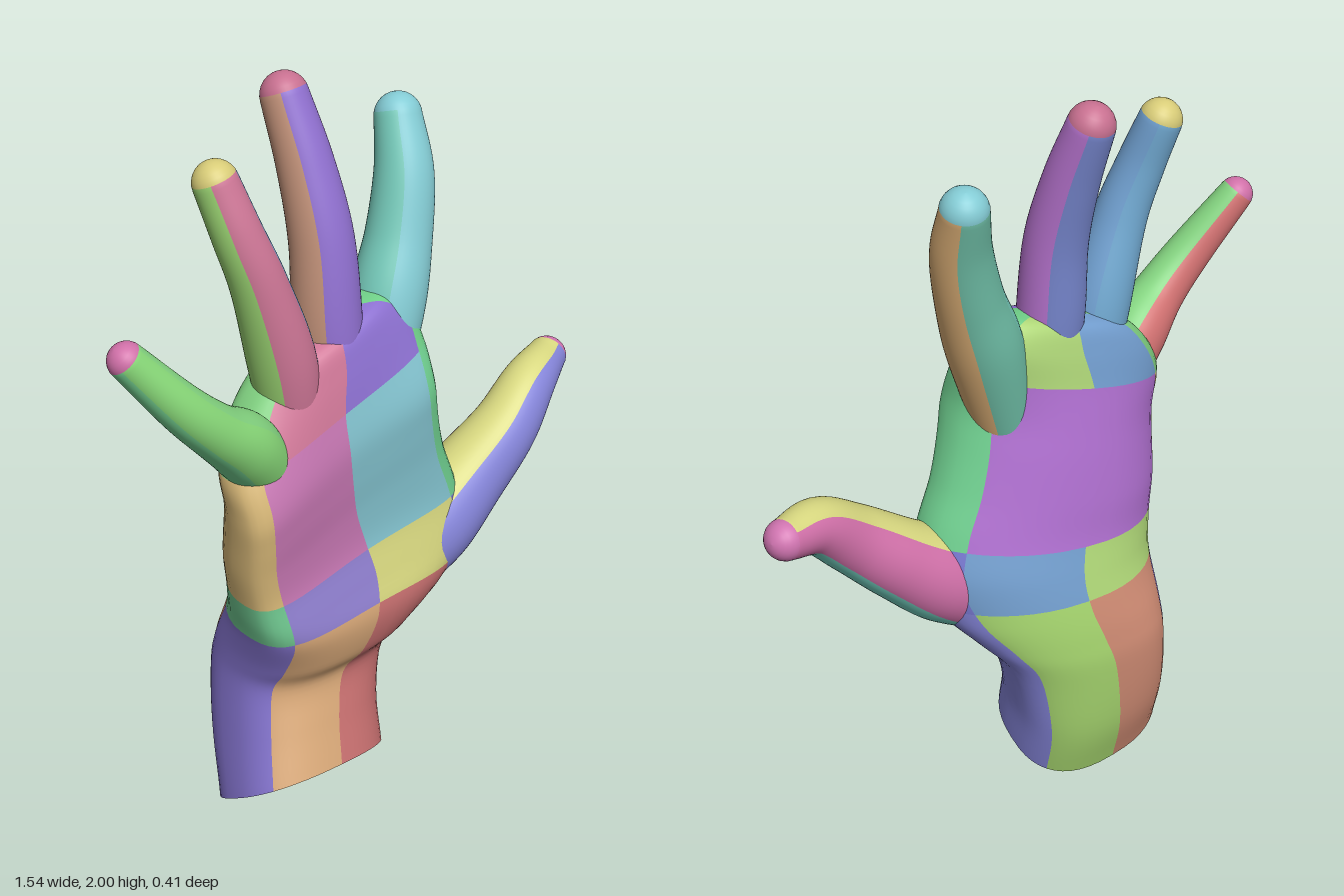
import * as THREE from 'three';

const COLS = 48;

// Closed-ring loft, split into coloured patches that share smooth normals.
function loft(name, rings, colorAt) {
  const pos = rings.flat().flatMap(p => [p.x, p.y, p.z]);
  const patches = new Map();
  const all = [];
  for (let i = 0; i < rings.length - 1; i++) {
    for (let j = 0; j < COLS; j++) {
      const k = (j + 1) % COLS;
      const a = i * COLS + j, b = i * COLS + k, c = b + COLS, d = a + COLS;
      const color = colorAt(i, j);
      if (!patches.has(color)) patches.set(color, []);
      patches.get(color).push(a, d, c, a, c, b);
      all.push(a, d, c, a, c, b);
    }
  }
  const whole = new THREE.BufferGeometry();
  whole.setAttribute('position', new THREE.Float32BufferAttribute(pos, 3));
  whole.setIndex(all);
  whole.computeVertexNormals();
  const group = new THREE.Group();
  group.name = name;
  for (const [color, index] of patches) {
    whole.setIndex(index);
    const mesh = new THREE.Mesh(whole.toNonIndexed(), new THREE.MeshStandardMaterial({ color }));
    mesh.name = name + 'Patch';
    group.add(mesh);
  }
  return group;
}

// Rounded oval; angle 0 is +x, a quarter turn is the front.
function oval(power) {
  return Array.from({ length: COLS }, (_, j) => {
    const t = (j / COLS) * Math.PI * 2;
    const f = v => Math.sign(v) * Math.pow(Math.abs(v), 2 / power);
    return [f(Math.cos(t)), f(Math.sin(t))];
  });
}

const smooth = pts => new THREE.CatmullRomCurve3(pts, false, 'catmullrom', 0.5);

// Palm and wrist sections: y, left x, right x, back z, front z, front-to-back slope
const SECTIONS = [
  [0.10, -0.43, 0.04, -0.12, 0.20, 0.60],
  [0.25, -0.395, 0.06, -0.18, 0.16, 0.40],
  [0.41, -0.37, 0.11, -0.205, 0.135, 0.10],
  [0.50, -0.37, 0.18, -0.20, 0.175, 0],
  [0.60, -0.385, 0.265, -0.185, 0.195, 0],
  [0.70, -0.405, 0.31, -0.165, 0.175, 0],
  [0.80, -0.42, 0.285, -0.145, 0.155, 0],
  [0.90, -0.435, 0.235, -0.135, 0.155, 0],
  [1.00, -0.445, 0.20, -0.12, 0.165, 0],
  [1.10, -0.455, 0.18, -0.10, 0.17, 0],
  [1.20, -0.455, 0.175, -0.08, 0.155, 0],
  [1.30, -0.395, 0.16, -0.065, 0.135, 0],
  [1.37, -0.305, 0.085, -0.045, 0.11, 0],
  [1.395, -0.18, 0.0, 0, 0.06, 0],
];

// Patch colours from wrist to knuckles, round from the thumb side by the front
const PALM_COLORS = [
  [0x8484d8, 0xc87070, 0xd8a878, 0x8070c8, 0xd08c74, 0xa8d870],
  [0x7878d0, 0xd8d880, 0x9080d0, 0x70c890, 0xb0d878, 0x74a0d0],
  [0x70d090, 0x84c4d0, 0xc878b4, 0xd8b878, 0xb070d0, 0xb070d1],
  [0x70d088, 0x8c70d0, 0xd07898, 0x80d080, 0x74a0d2, 0xb0d879],
];

function makePalm() {
  const shape = smooth(SECTIONS.map(s => new THREE.Vector3(s[0], s[1], s[2])));
  const depth = smooth(SECTIONS.map(s => new THREE.Vector3(s[3], s[4], s[5])));
  const step = THREE.MathUtils.smoothstep;
  const unit = oval(2.5), rows = 78, rings = [];
  const height = i => shape.getPoint(i / rows).x;
  for (let i = 0; i <= rows; i++) {
    const { x: y, y: x0, z: x1 } = shape.getPoint(i / rows);
    const { x: z0, y: z1, z: slope } = depth.getPoint(i / rows);
    // The knuckle line rises to the thumb side, and both palm edges cup forward
    const tilt = 0.3 * step(y, 0.5, 1.1) - 0.13 * slope;
    const cup = 0.08 * step(y, 0.45, 0.7) * (1 - step(y, 1.05, 1.35));
    // The back of the hand is fuller on the little finger's side
    const skew = 0.16 * step(y, 0.1, 0.4) * (1 - step(y, 0.8, 1.1));
    rings.push(unit.map(([u, v]) => {
      const dx = u * (x1 - x0) / 2, dz = v * (z1 - z0) / 2 * (v < 0 ? 1 - skew * u : 1);
      return new THREE.Vector3((x0 + x1) / 2 + dx, y + slope * dz + tilt * dx,
        (z0 + z1) / 2 + dz + cup * u * u);
    }));
  }
  const palm = loft('palm', rings, (i, j) => {
    const band = [0.625, 0.775, 1.19].filter(y => height(i) > y).length;
    const edges = [5, 12, 19, 29, 36, 43];
    return PALM_COLORS[band][edges.filter(e => j >= e).length % 6];
  });
  // Flat cut and rounded crown close the two ends
  const middle = ring => {
    const c = new THREE.Vector3();
    ring.forEach(p => c.addScaledVector(p, 1 / COLS));
    return ring.map(() => c);
  };
  const last = rings[rows];
  return [palm,
    loft('wristCut', [middle(rings[0]), rings[0]], () => 0x549078),
    loft('palmCrown', [last, middle(last)], () => 0x8c70d0)];
}

// Digits: path points x, y, z, radius; colours thumb side, front, little side, back, tip
const DIGITS = {
  indexFinger: {
    path: [[0.06, 1.13, 0.04, 0.08], [0.13, 1.37, 0.02, 0.098], [0.188, 1.53, 0, 0.086],
      [0.228, 1.68, -0.025, 0.076], [0.25, 1.81, -0.07, 0.061]],
    colors: [0xd8ac74, 0x84ccd4, 0x74c8b8, 0x70c0a8, 0x84ccd5],
  },
  middleFinger: {
    path: [[-0.07, 1.15, 0.05, 0.075], [-0.083, 1.38, 0.03, 0.087], [-0.08, 1.60, 0.005, 0.081],
      [-0.085, 1.78, -0.045, 0.071], [-0.095, 1.94, -0.105, 0.06]],
    colors: [0xb874d0, 0x9070d0, 0xc09078, 0x7888d0, 0xc87090],
  },
  ringFinger: {
    path: [[-0.22, 1.13, 0.05, 0.07], [-0.258, 1.35, 0.056, 0.085], [-0.325, 1.57, 0.055, 0.07],
      [-0.372, 1.71, 0.035, 0.062], [-0.403, 1.835, 0, 0.056]],
    colors: [0x70a0d0, 0xd07898, 0x98d070, 0x70a8d0, 0xd8cc78],
  },
  littleFinger: {
    path: [[-0.32, 1.07, 0.07, 0.075], [-0.415, 1.19, 0.092, 0.086], [-0.515, 1.275, 0.108, 0.069],
      [-0.61, 1.37, 0.10, 0.059], [-0.728, 1.515, 0.06, 0.046]],
    colors: [0x84d480, 0x88d878, 0x74d090, 0xd07070, 0xd070a8],
  },
  thumb: {
    path: [[0.10, 0.58, 0.06, 0.09], [0.235, 0.70, 0.075, 0.122], [0.37, 0.808, 0.09, 0.107],
      [0.49, 0.91, 0.105, 0.09], [0.60, 1.0, 0.088, 0.073], [0.713, 1.03, 0.05, 0.054]],
    colors: [0x74d0c0, 0x8484d8, 0xd8d880, 0xd070a8, 0xd074b0],
  },
};

function makeDigit(name, { path, colors }) {
  const curve = smooth(path.map(p => new THREE.Vector3(p[0], p[1], p[2])));
  const radius = smooth(path.map(p => new THREE.Vector3(p[3], 0, 0)));
  const unit = oval(2), rows = 32, capRows = 7, rings = [];
  const addRing = (c, t, r) => {
    const side = new THREE.Vector3().crossVectors(t, new THREE.Vector3(0, 0, 1)).normalize();
    const front = new THREE.Vector3().crossVectors(side, t);
    rings.push(unit.map(([u, v]) =>
      c.clone().addScaledVector(side, u * r).addScaledVector(front, v * r)));
  };
  for (let i = 0; i <= rows; i++) {
    const u = i / rows;
    addRing(curve.getPoint(u), curve.getTangent(u), radius.getPoint(u).x);
  }
  // Domed fingertip
  const t = curve.getTangent(1), r = path[path.length - 1][3];
  for (let k = 1; k <= capRows; k++) {
    const a = (k / capRows) * Math.PI / 2;
    addRing(curve.getPoint(1).addScaledVector(t, r * Math.sin(a)), t, r * Math.max(Math.cos(a), 0.001));
  }
  return loft(name, rings, (i, j) =>
    i > rows ? colors[4] : colors[Math.floor(((j + COLS / 8) % COLS) / (COLS / 4))]);
}

export function createModel() {
  const hand = new THREE.Group();
  hand.name = 'hand';
  hand.add(...makePalm());
  for (const [name, digit] of Object.entries(DIGITS)) hand.add(makeDigit(name, digit));
  return hand;
}
